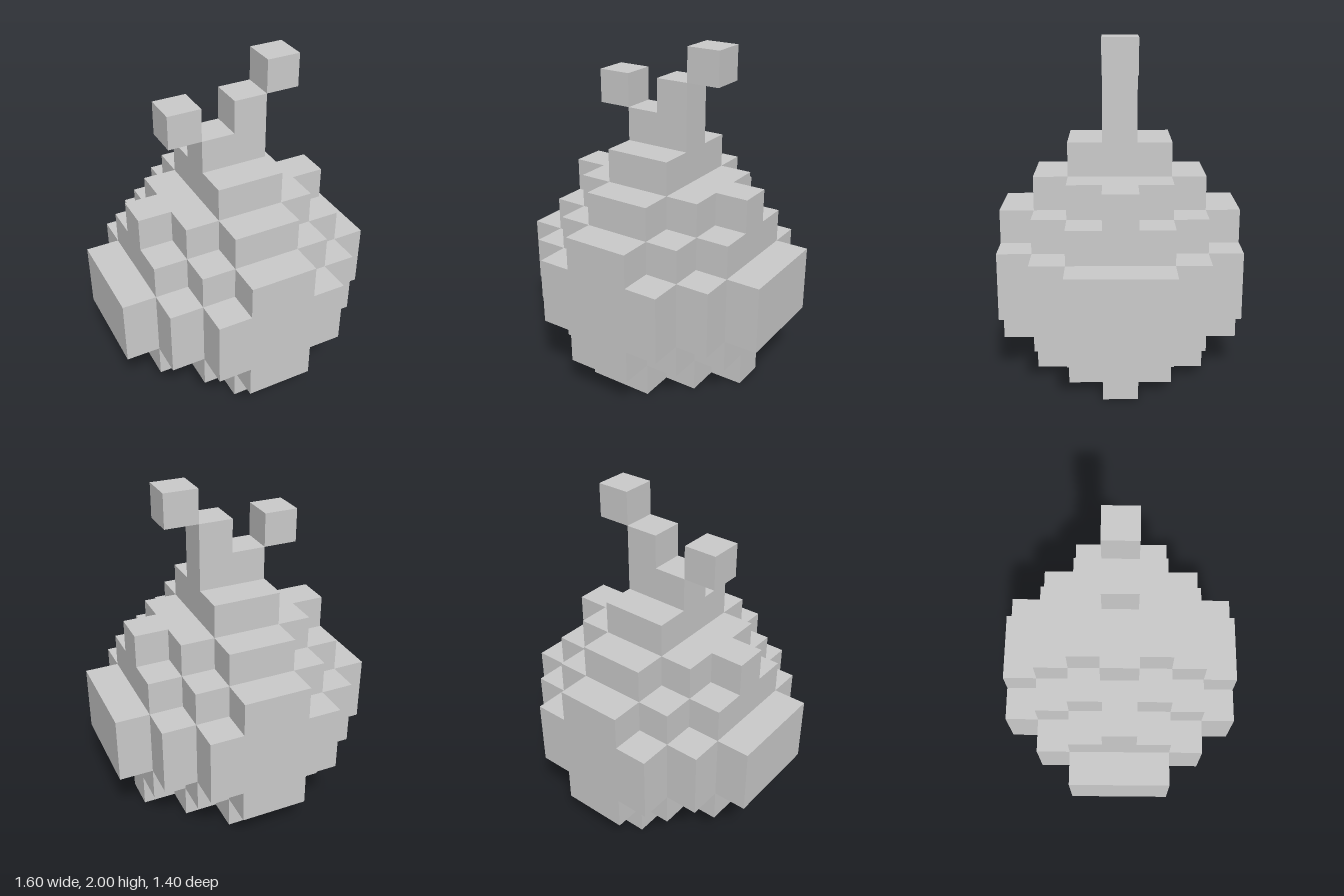
import * as THREE from 'three';
import { mergeGeometries } from 'three/addons/utils/BufferGeometryUtils.js';

const S = 0.2; // voxel size

// Half-widths in voxels for rows |z| = 0, 1, 2, 3
const round = (...half) => half.map((h) => [-h, h]);
const wide = round(4, 4, 3, 2);
const middle = round(3, 3, 2, 1);

// Each layer: y index and [xMin, xMax] per row |z|, mirrored front to back
const parts = {
  base: [[0, [[-2, 3], [-1, 2], [-1, 1]]]],
  body: [[1, middle], [2, wide], [3, wide], [4, middle], [5, round(3, 2, 1)]],
  neck: [[6, round(1, 1)]],
  stem: [[7, round(1)], [8, [[0, 1]]]],
  upperTip: [[9, [[1, 2]]]],
  lowerTip: [[8, [[-2, -1]]]],
};

function cellsOf(layers) {
  const cells = [];
  for (const [y, rows] of layers)
    for (let z = 1 - rows.length; z < rows.length; z++) {
      const [from, to] = rows[Math.abs(z)];
      for (let x = from; x < to; x++) cells.push([x, y, z]);
    }
  return cells;
}

// Outward unit squares for the six sides of a voxel
const sides = [
  [0, 0, 1, 0, 0], [0, 0, -1, 0, Math.PI],
  [1, 0, 0, 0, Math.PI / 2], [-1, 0, 0, 0, -Math.PI / 2],
  [0, 1, 0, -Math.PI / 2, 0], [0, -1, 0, Math.PI / 2, 0],
].map(([dx, dy, dz, rx, ry]) => ({
  step: [dx, dy, dz],
  square: new THREE.PlaneGeometry(S, S).rotateX(rx).rotateY(ry)
    .translate(dx * S / 2, dy * S / 2, dz * S / 2),
}));

export function createModel() {
  const group = new THREE.Group();
  group.name = 'voxelFruit';
  const material = new THREE.MeshStandardMaterial({ color: 0xcccccc, flatShading: true });
  const filled = new Set(Object.values(parts).flatMap(cellsOf).map(String));

  for (const [name, layers] of Object.entries(parts)) {
    const faces = [];
    // Only the sides without a neighbour are built
    for (const [x, y, z] of cellsOf(layers))
      for (const { step, square } of sides)
        if (!filled.has(String([x + step[0], y + step[1], z + step[2]])))
          faces.push(square.clone().translate((x + 0.5) * S, (y + 0.5) * S, z * S));
    const mesh = new THREE.Mesh(mergeGeometries(faces), material);
    mesh.name = name;
    group.add(mesh);
  }
  return group;
}
